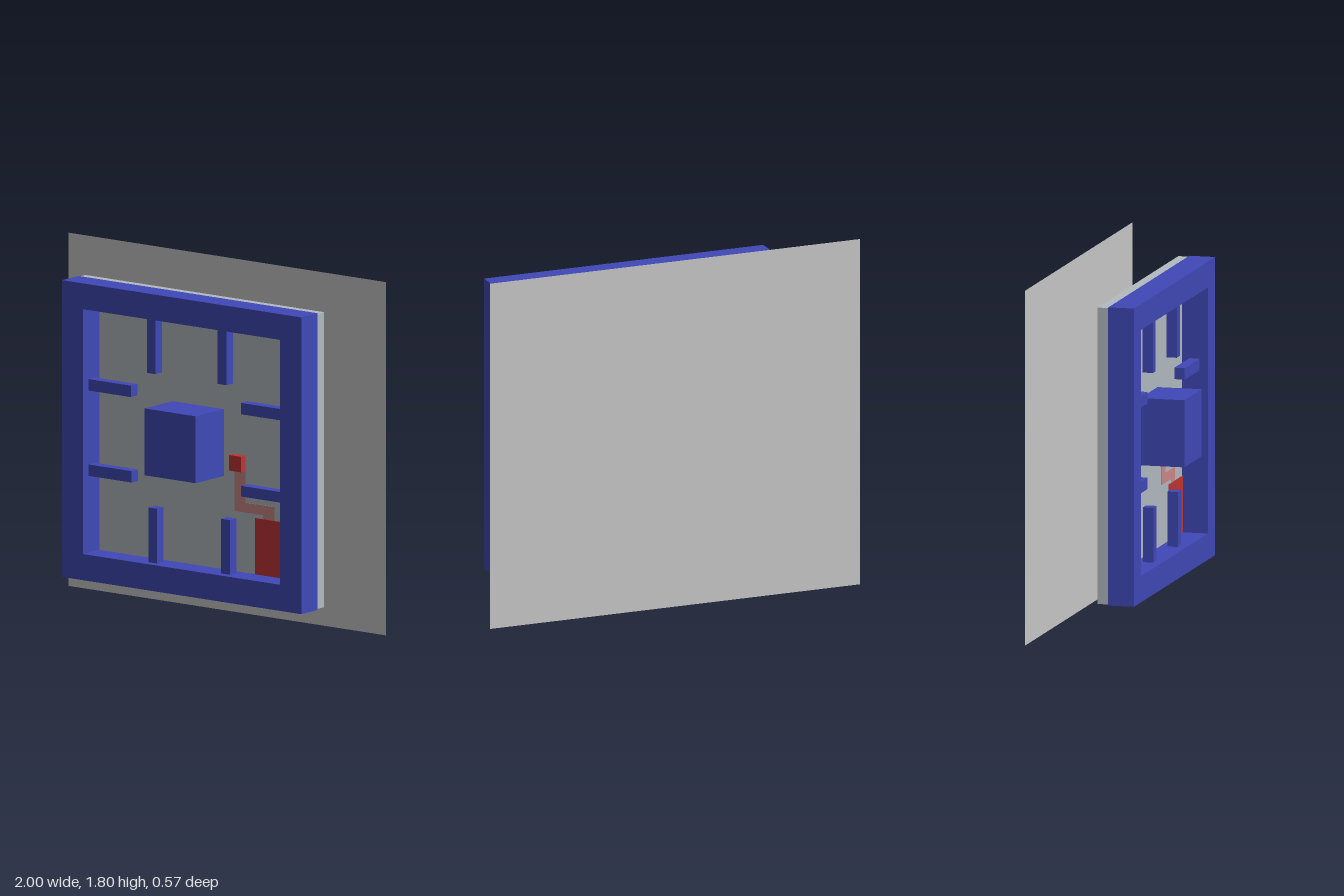
import * as THREE from 'three';

export function createModel() {
  const model = new THREE.Group();
  const mat = (name, color) => {
    const m = new THREE.MeshStandardMaterial({ color });
    m.name = name;
    return m;
  };
  const blue = mat('blue', 0x4049b8);
  const floorGrey = mat('floor grey', 0xb3bbc1);
  const panelGrey = mat('panel grey', 0xc9c9c9);
  const red = mat('red', 0xc03333);
  const pink = mat('pale red', 0xcb8888);
  panelGrey.side = THREE.DoubleSide;

  // Box given by its extents on each axis
  const box = (name, material, [x0, x1], [y0, y1], [z0, z1]) => {
    const mesh = new THREE.Mesh(new THREE.BoxGeometry(x1 - x0, y1 - y0, z1 - z0), material);
    mesh.position.set((x0 + x1) / 2, (y0 + y1) / 2, (z0 + z1) / 2);
    mesh.name = name;
    model.add(mesh);
  };

  // Thin panel behind everything
  const panel = new THREE.Mesh(new THREE.PlaneGeometry(2, 1.796), panelGrey);
  panel.position.set(0, 0.898, -0.284);
  panel.name = 'backPanel';
  model.add(panel);

  // Floor slab
  box('floorSlab', floorGrey, [-0.672, 0.831], [0.168, 1.668], [0, 0.056]);

  // Outer walls
  const wallZ = [0.056, 0.189];
  box('leftWall', blue, [0.7, 0.834], [0.296, 1.541], wallZ);
  box('rightWall', blue, [-0.674, -0.541], [0.296, 1.541], wallZ);
  box('topWall', blue, [-0.674, 0.834], [1.541, 1.672], wallZ);
  box('bottomWall', blue, [-0.674, 0.834], [0.163, 0.296], wallZ);

  // Short bars reaching inwards at mid wall depth
  const bars = [
    [[-0.172, -0.118], [1.257, 1.541]],
    [[0.273, 0.33], [1.257, 1.541]],
    [[-0.162, -0.108], [0.296, 0.574]],
    [[0.294, 0.353], [0.296, 0.574]],
    [[-0.541, -0.273], [1.121, 1.179]],
    [[-0.541, -0.268], [0.687, 0.745]],
    [[0.42, 0.7], [1.121, 1.179]],
    [[0.42, 0.7], [0.703, 0.757]],
  ];
  bars.forEach(([x, y]) => box('wallBar', blue, x, y, [0.094, 0.147]));

  // Central block passing through the slab
  box('centreBlock', blue, [-0.08, 0.242], [0.77, 1.11], [-0.053, 0.284]);

  // Red corner zone, path and marker
  box('cornerZone', red, [0.442, 0.7], [0.296, 0.582], [0.054, 0.06]);
  box('markerBlock', red, [0.305, 0.38], [0.812, 0.891], [0.05, 0.095]);
  const pathZ = [0.054, 0.058];
  box('pathUpper', pink, [0.31, 0.38], [0.652, 0.815], pathZ);
  box('pathMiddle', pink, [0.31, 0.562], [0.602, 0.652], pathZ);
  box('pathLower', pink, [0.49, 0.562], [0.575, 0.602], pathZ);

  return model;
}
